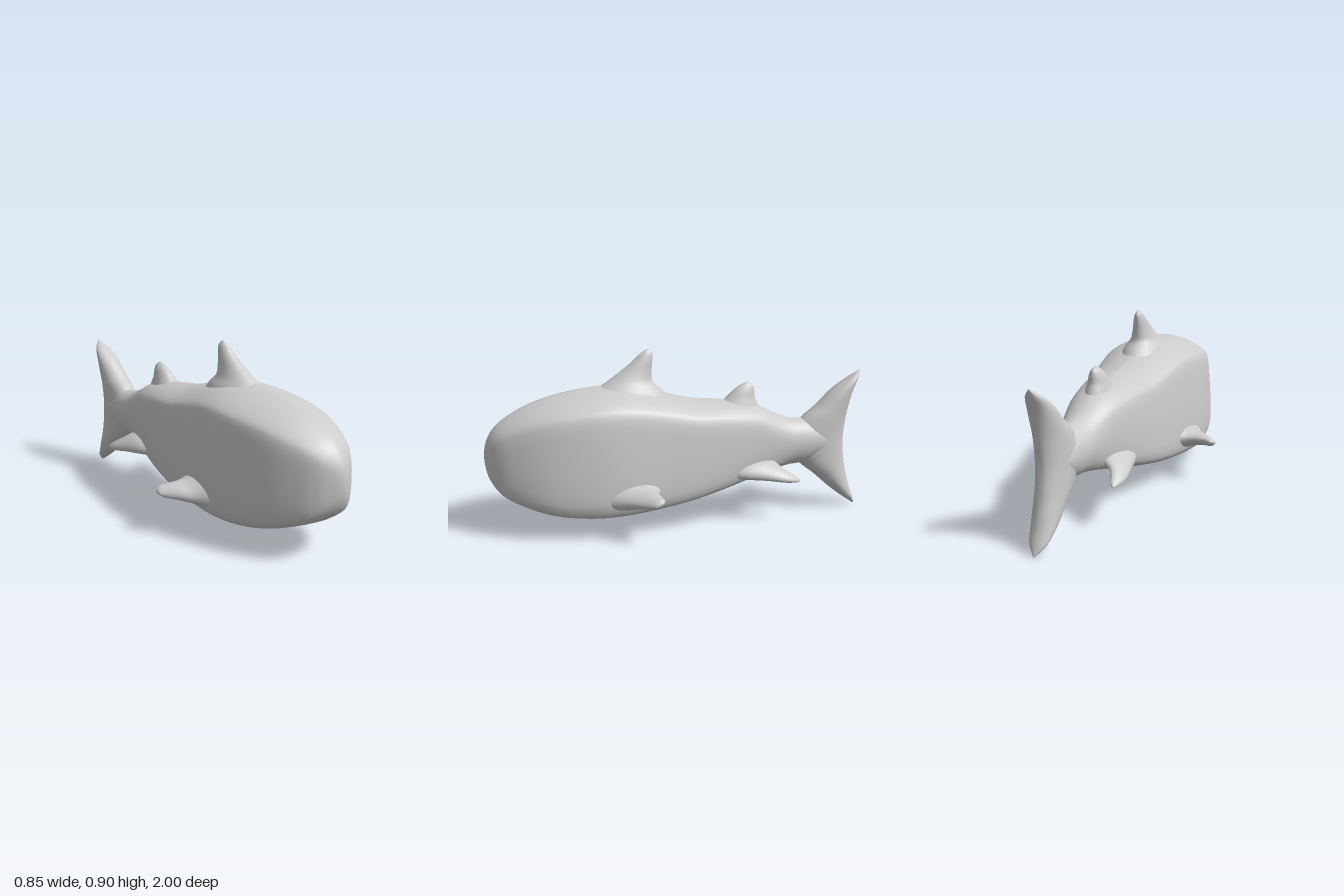
import * as THREE from 'three';

const material = new THREE.MeshStandardMaterial({ color: 0xcccccc });
const V = (x, y, z) => new THREE.Vector3(x, y, z);

// Smooth skin over a row of closed rings, with both ends closed to a point
function skin(name, rings) {
  const n = rings[0].length, pos = [], idx = [];
  rings.forEach(r => r.forEach(p => pos.push(p.x, p.y, p.z)));
  for (let i = 0; i < rings.length - 1; i++) {
    for (let j = 0; j < n; j++) {
      const a = i * n + j, b = i * n + (j + 1) % n;
      idx.push(a, b, a + n, b, b + n, a + n);
    }
  }
  [0, rings.length - 1].forEach((i, end) => {
    const c = V(0, 0, 0);
    rings[i].forEach(p => c.addScaledVector(p, 1 / n));
    const k = pos.length / 3;
    pos.push(c.x, c.y, c.z);
    for (let j = 0; j < n; j++) {
      const a = i * n + j, b = i * n + (j + 1) % n;
      if (end) idx.push(a, b, k); else idx.push(b, a, k);
    }
  });
  // Turn the faces outward if the enclosed volume is negative
  const at = i => V(pos[3 * i], pos[3 * i + 1], pos[3 * i + 2]);
  let volume = 0;
  for (let i = 0; i < idx.length; i += 3) {
    volume += at(idx[i]).dot(at(idx[i + 1]).cross(at(idx[i + 2])));
  }
  if (volume < 0) idx.reverse();
  const g = new THREE.BufferGeometry();
  g.setAttribute('position', new THREE.Float32BufferAttribute(pos, 3));
  g.setIndex(idx);
  g.computeVertexNormals();
  const mesh = new THREE.Mesh(g, material);
  mesh.name = name;
  return mesh;
}

// Fin sections: leading point, trailing point, half thickness along the given axis
function fin(name, axis, sections, mirror = 1) {
  const lead = new THREE.CatmullRomCurve3(sections.map(s => V(...s[0])));
  const trail = new THREE.CatmullRomCurve3(sections.map(s => V(...s[1])));
  const thick = new THREE.CatmullRomCurve3(sections.map((s, i) => V(s[2], i, 0)));
  const steps = (sections.length - 1) * 4, rings = [];
  for (let i = 0; i <= steps; i++) {
    const t = i / steps, a = lead.getPoint(t), b = trail.getPoint(t);
    const th = Math.max(thick.getPoint(t).x, 0.001);
    const mid = a.clone().add(b).multiplyScalar(0.5), half = a.clone().sub(b).multiplyScalar(0.5);
    const ring = [];
    for (let j = 0; j < 20; j++) {
      const q = j / 20 * Math.PI * 2;
      const p = mid.clone().addScaledVector(half, Math.cos(q)).addScaledVector(axis, th * Math.sin(q));
      p.x *= mirror;
      ring.push(p);
    }
    rings.push(ring);
  }
  return skin(name, rings);
}

// Body stations: z, top, bottom, half width, roundness (0 boxy, 1 oval)
function body() {
  const stations = [
    [0.998, 0.42, 0.37, 0.012, 1], [0.985, 0.475, 0.30, 0.045, 0.7], [0.95, 0.535, 0.235, 0.102, 0.4],
    [0.9, 0.58, 0.19, 0.148, 0.2], [0.8, 0.637, 0.143, 0.203, 0.1], [0.7, 0.675, 0.112, 0.24, 0],
    [0.6, 0.70, 0.093, 0.262, 0], [0.45, 0.722, 0.081, 0.277, 0], [0.3, 0.724, 0.084, 0.268, 0],
    [0.1, 0.682, 0.105, 0.237, 0], [-0.05, 0.645, 0.13, 0.217, 0.05], [-0.2, 0.63, 0.162, 0.19, 0.15],
    [-0.4, 0.597, 0.21, 0.145, 0.4], [-0.5, 0.548, 0.235, 0.122, 0.6], [-0.6, 0.508, 0.253, 0.103, 0.9],
    [-0.7, 0.498, 0.26, 0.09, 1], [-0.8, 0.46, 0.3, 0.073, 1], [-0.88, 0.40, 0.36, 0.03, 1],
  ];
  // Half outline of the boxy section: share of half width, share of height
  const half = new THREE.SplineCurve([
    [0, 1], [0.4, 0.965], [0.77, 0.885], [0.89, 0.8], [0.95, 0.6],
    [1, 0.32], [0.98, 0.1], [0.72, 0.025], [0, 0],
  ].map(p => new THREE.Vector2(...p)));
  const path = new THREE.CatmullRomCurve3(stations.map(s => V(s[0], s[1], s[2])));
  const girth = new THREE.CatmullRomCurve3(stations.map(s => V(s[3], s[4], s[0])));
  const steps = (stations.length - 1) * 3, m = 24, rings = [];
  for (let i = 0; i <= steps; i++) {
    const a = path.getPoint(i / steps), b = girth.getPoint(i / steps);
    const ring = [];
    for (let j = 0; j < m * 2; j++) {
      const side = j <= m ? 1 : -1, t = (j <= m ? j : 2 * m - j) / m;
      const p = half.getPoint(t), q = t * Math.PI;
      const x = THREE.MathUtils.lerp(p.x, Math.sin(q), b.y);
      const h = THREE.MathUtils.lerp(p.y, 0.5 + 0.5 * Math.cos(q), b.y);
      ring.push(V(side * x * b.x, THREE.MathUtils.lerp(a.z, a.y, h), a.x));
    }
    rings.push(ring);
  }
  return skin('body', rings);
}

export function createModel() {
  const group = new THREE.Group();
  group.name = 'fish';
  const X = V(1, 0, 0), Y = V(0, 1, 0);
  group.add(body());

  // Upright fins and tail: height, leading z, trailing z, half thickness
  const upright = (name, rows) =>
    fin(name, X, rows.map(([y, zl, zt, th]) => [[0, y, zl], [0, y, zt], th]));
  group.add(upright('dorsalFin', [
    [0.63, 0.5, 0.04, 0.13], [0.7, 0.44, 0.1, 0.1], [0.74, 0.385, 0.143, 0.07], [0.79, 0.315, 0.147, 0.048],
    [0.84, 0.25, 0.143, 0.034], [0.88, 0.207, 0.142, 0.02], [0.902, 0.175, 0.158, 0.004],
  ]));
  group.add(upright('rearDorsalFin', [
    [0.55, -0.17, -0.44, 0.075], [0.6, -0.21, -0.42, 0.06], [0.635, -0.25, -0.405, 0.047],
    [0.67, -0.285, -0.402, 0.035], [0.695, -0.32, -0.395, 0.022], [0.712, -0.35, -0.372, 0.004],
  ]));
  group.add(upright('tailFin', [
    [0.0, -0.992, -1, 0.002], [0.045, -0.925, -0.985, 0.042], [0.11, -0.84, -0.96, 0.06],
    [0.19, -0.75, -0.938, 0.068], [0.255, -0.67, -0.925, 0.073], [0.38, -0.6, -0.914, 0.077],
    [0.5, -0.67, -0.925, 0.073], [0.565, -0.75, -0.938, 0.068], [0.645, -0.835, -0.96, 0.06],
    [0.705, -0.92, -0.985, 0.042], [0.75, -0.992, -1, 0.002],
  ]));

  // Paired fins
  for (const [side, s] of [['left', 1], ['right', -1]]) {
    group.add(fin(side + 'PectoralFin', Y, [
      [[0.2, 0.195, 0.5], [0.2, 0.23, 0.12], 0.085], [[0.265, 0.195, 0.43], [0.265, 0.225, 0.165], 0.06],
      [[0.31, 0.195, 0.355], [0.31, 0.228, 0.176], 0.042], [[0.36, 0.202, 0.295], [0.36, 0.23, 0.174], 0.031],
      [[0.405, 0.205, 0.24], [0.405, 0.228, 0.168], 0.022], [[0.426, 0.21, 0.215], [0.426, 0.222, 0.185], 0.008],
    ], s));
    group.add(fin(side + 'PelvicFin', Y, [
      [[0.13, 0.255, -0.2], [0.06, 0.3, -0.48], 0.05], [[0.18, 0.255, -0.29], [0.11, 0.285, -0.5], 0.042],
      [[0.205, 0.245, -0.4], [0.145, 0.265, -0.522], 0.032], [[0.222, 0.227, -0.51], [0.167, 0.24, -0.562], 0.022],
      [[0.212, 0.217, -0.575], [0.18, 0.222, -0.592], 0.012], [[0.2, 0.212, -0.6], [0.193, 0.213, -0.602], 0.003],
    ], s));
  }
  return group;
}
